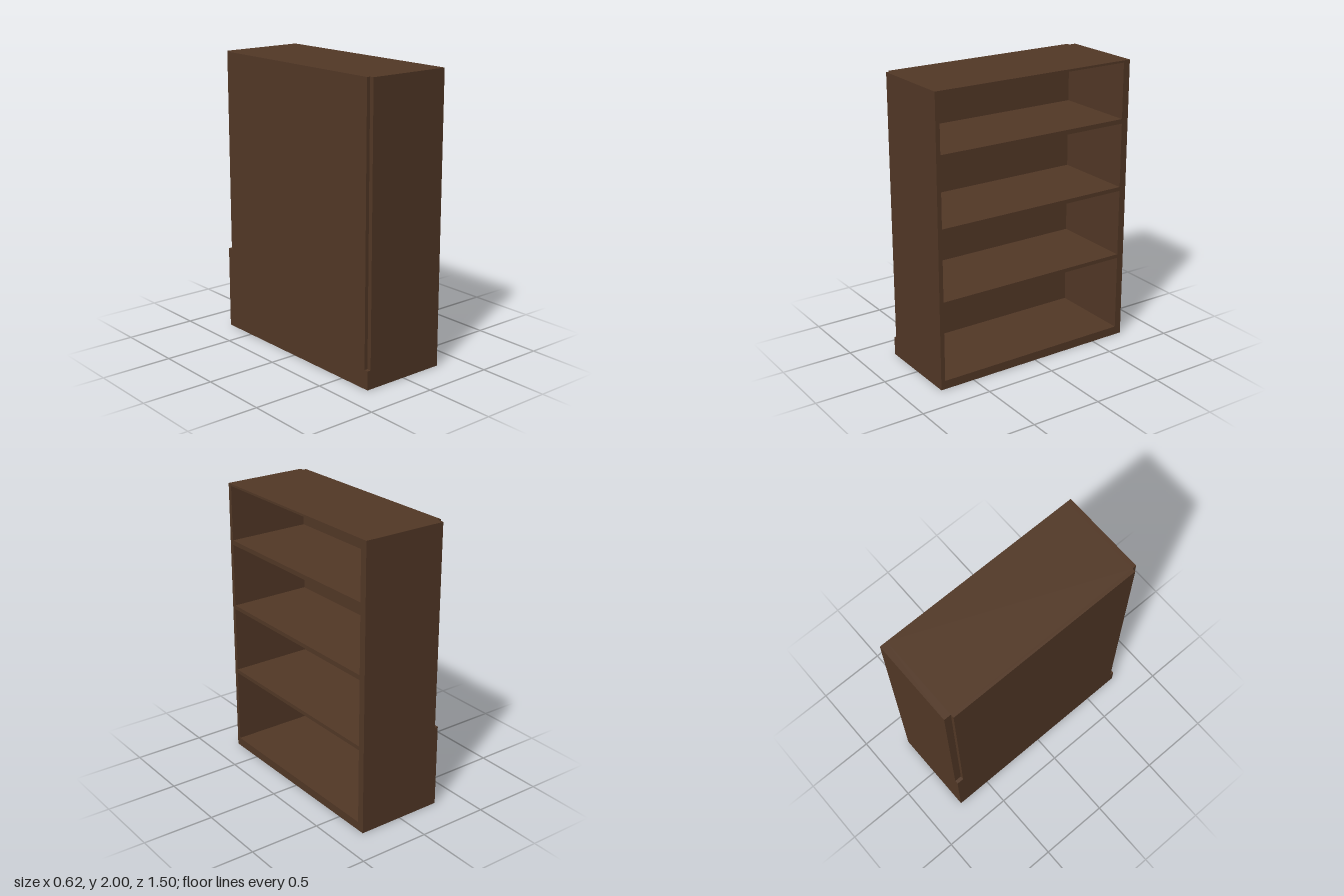
import * as THREE from 'three';

export function createModel() {
  const bookcase = new THREE.Group();
  bookcase.name = 'bookcase';
  const wood = new THREE.MeshStandardMaterial({ color: 0x523826 });

  const X = 0.31, BACK = -0.285, H = 2;  // half depth, inner face of the back, height
  const Z0 = -0.70, Z1 = 0.72;           // inner faces of the two sides

  const add = (name, geometry) => {
    const mesh = new THREE.Mesh(geometry, wood);
    mesh.name = name;
    bookcase.add(mesh);
    return mesh;
  };

  // box given by its limits on each axis
  const board = (name, x0, x1, y0, y1, z0, z1) =>
    add(name, new THREE.BoxGeometry(x1 - x0, y1 - y0, z1 - z0))
      .position.set((x0 + x1) / 2, (y0 + y1) / 2, (z0 + z1) / 2);

  // side panel whose rear edge is cut back above the given height
  const side = (name, z0, z1, step) => {
    const outline = new THREE.Shape([
      [-X, 0], [X, 0], [X, H], [BACK, H], [BACK, step], [-X, step],
    ].map(([x, y]) => new THREE.Vector2(x, y)));
    add(name, new THREE.ExtrudeGeometry(outline, { depth: z1 - z0, bevelEnabled: false }))
      .position.z = z0;
  };

  side('frontSidePanel', Z1, 0.75, 0.13);
  side('rearSidePanel', -0.75, Z0, 0.585);

  // back board fills the gap between the sides
  board('backPanel', -X, BACK, 0, H, Z0, Z1);

  // base, shelves and top, as bottom and top heights
  const levels = [[0, 0.06], [0.593, 0.62], [1.09, 1.118], [1.568, 1.6], [1.985, H]];
  const names = ['base', 'lowerShelf', 'middleShelf', 'upperShelf', 'top'];
  levels.forEach(([y0, y1], i) => board(names[i], BACK, X, y0, y1, Z0, Z1));

  return bookcase;
}
